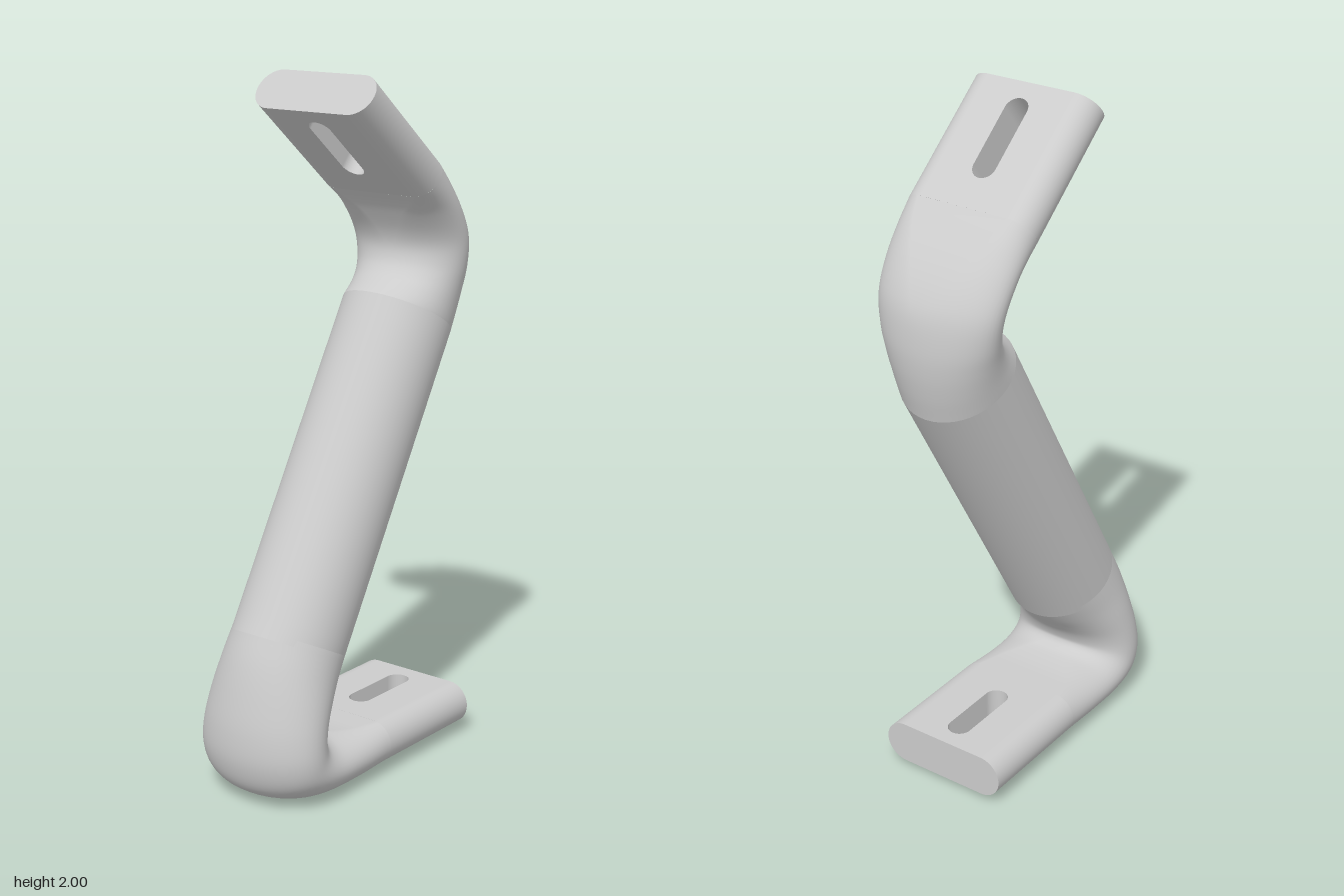
import * as THREE from 'three';

const HALF_W = 0.2, HALF_T = 0.0635;
const material = new THREE.MeshStandardMaterial({ color: 0xcccccc });

// Section: front edge z, y, back edge z, y, half width, roundness (0 stadium, 1 ellipse)
const LOWER_BEND = [
  [0, 0.025, 0, 0.152, 0.2, 0],
  [0.12, 0.01, 0.09, 0.153, 0.201, 0.2],
  [0.25, 0.002, 0.16, 0.162, 0.203, 0.5],
  [0.35, 0.015, 0.188, 0.175, 0.205, 0.8],
  [0.42, 0.055, 0.2, 0.19, 0.205, 1],
  [0.45, 0.13, 0.2, 0.205, 0.204, 1],
  [0.45, 0.22, 0.185, 0.235, 0.198, 1],
  [0.43, 0.32, 0.155, 0.27, 0.188, 1],
  [0.4, 0.42, 0.115, 0.31, 0.175, 1],
  [0.36, 0.51, 0.07, 0.36, 0.164, 1],
];
const UPPER_BEND = [
  [-0.14, 1.375, -0.42, 1.21, 0.164, 1],
  [-0.185, 1.398, -0.437, 1.28, 0.167, 1],
  [-0.22, 1.42, -0.448, 1.35, 0.173, 1],
  [-0.245, 1.45, -0.45, 1.42, 0.182, 1],
  [-0.255, 1.49, -0.44, 1.5, 0.191, 1],
  [-0.245, 1.535, -0.415, 1.56, 0.196, 0.8],
  [-0.215, 1.59, -0.37, 1.625, 0.199, 0.5],
  [-0.19, 1.625, -0.31, 1.69, 0.2, 0.2],
  [-0.165, 1.652, -0.246, 1.75, 0.2, 0],
];
const STRAIGHT = [LOWER_BEND.at(-1), UPPER_BEND[0]];

// Skins a smooth tube through the sections
function loft(name, sections, steps) {
  const curve = (f) => new THREE.CatmullRomCurve3(sections.map(f), false, 'catmullrom', 0.5);
  const front = curve((s) => new THREE.Vector3(0, s[1], s[0]));
  const back = curve((s) => new THREE.Vector3(0, s[3], s[2]));
  const size = curve((s) => new THREE.Vector3(s[4], s[5], 0));
  const sides = 48, positions = [], index = [];
  for (let i = 0; i <= steps; i++) {
    const f = front.getPoint(i / steps), b = back.getPoint(i / steps);
    const { x: w, y: round } = size.getPoint(i / steps);
    const centre = f.clone().add(b).multiplyScalar(0.5);
    const half = f.clone().sub(b).multiplyScalar(0.5);
    const t = Math.min(half.length(), w);
    for (let j = 0; j < sides; j++) {
      const a = (j / sides) * Math.PI * 2, c = Math.cos(a), s = Math.sin(a);
      const stadium = Math.sign(c) * (w - t) + t * c;
      positions.push(THREE.MathUtils.lerp(stadium, w * c, round),
        centre.y + half.y * s, centre.z + half.z * s);
      if (i < steps) {
        const p = i * sides + j, q = i * sides + ((j + 1) % sides);
        index.push(p, p + sides, q, q, p + sides, q + sides);
      }
    }
  }
  const geometry = new THREE.BufferGeometry();
  geometry.setAttribute('position', new THREE.Float32BufferAttribute(positions, 3));
  geometry.setIndex(index);
  geometry.computeVertexNormals();
  const mesh = new THREE.Mesh(geometry, material);
  mesh.name = name;
  return mesh;
}

// Flat mounting end with rounded sides and a long bolt slot, running along local +y
function mountingPlate(name, length) {
  const group = new THREE.Group();
  group.name = name;
  const x = HALF_W - HALF_T;
  const shape = new THREE.Shape([
    new THREE.Vector2(-x, 0), new THREE.Vector2(x, 0),
    new THREE.Vector2(x, length), new THREE.Vector2(-x, length),
  ]);
  const r = 0.035, top = length - 0.05 - r, bottom = length - 0.3 + r;
  const slot = new THREE.Path();
  slot.absarc(0, top, r, 0, Math.PI);
  slot.absarc(0, bottom, r, Math.PI, Math.PI * 2);
  slot.closePath();
  shape.holes.push(slot);
  const slab = new THREE.ExtrudeGeometry(shape, { depth: HALF_T * 2, bevelEnabled: false, curveSegments: 16 });
  slab.translate(0, 0, -HALF_T);
  const slabMesh = new THREE.Mesh(slab, material);
  slabMesh.name = 'slottedSlab';
  group.add(slabMesh);
  for (const side of [1, -1]) {
    const edge = new THREE.CylinderGeometry(HALF_T, HALF_T, length, 24, 1, false,
      side > 0 ? 0 : Math.PI, Math.PI);
    edge.translate(side * x, length / 2, 0);
    const mesh = new THREE.Mesh(edge, material);
    mesh.name = side > 0 ? 'leftRoundedEdge' : 'rightRoundedEdge';
    group.add(mesh);
  }
  return group;
}

export function createModel() {
  const model = new THREE.Group();
  model.name = 'bentTubeBracket';

  model.add(
    loft('lowerBend', LOWER_BEND, 54),
    loft('straightTube', STRAIGHT, 8),
    loft('upperBend', UPPER_BEND, 48),
  );

  // Lower plate points back, upper plate points up and forward
  const lower = mountingPlate('lowerMountingPlate', 0.38);
  lower.position.set(0, 0.0885, 0);
  lower.rotation.x = -Math.PI / 2;
  const upper = mountingPlate('upperMountingPlate', 0.39);
  upper.position.set(0, 1.701, -0.2055);
  upper.rotation.x = 0.876;
  model.add(lower, upper);

  return model;
}
